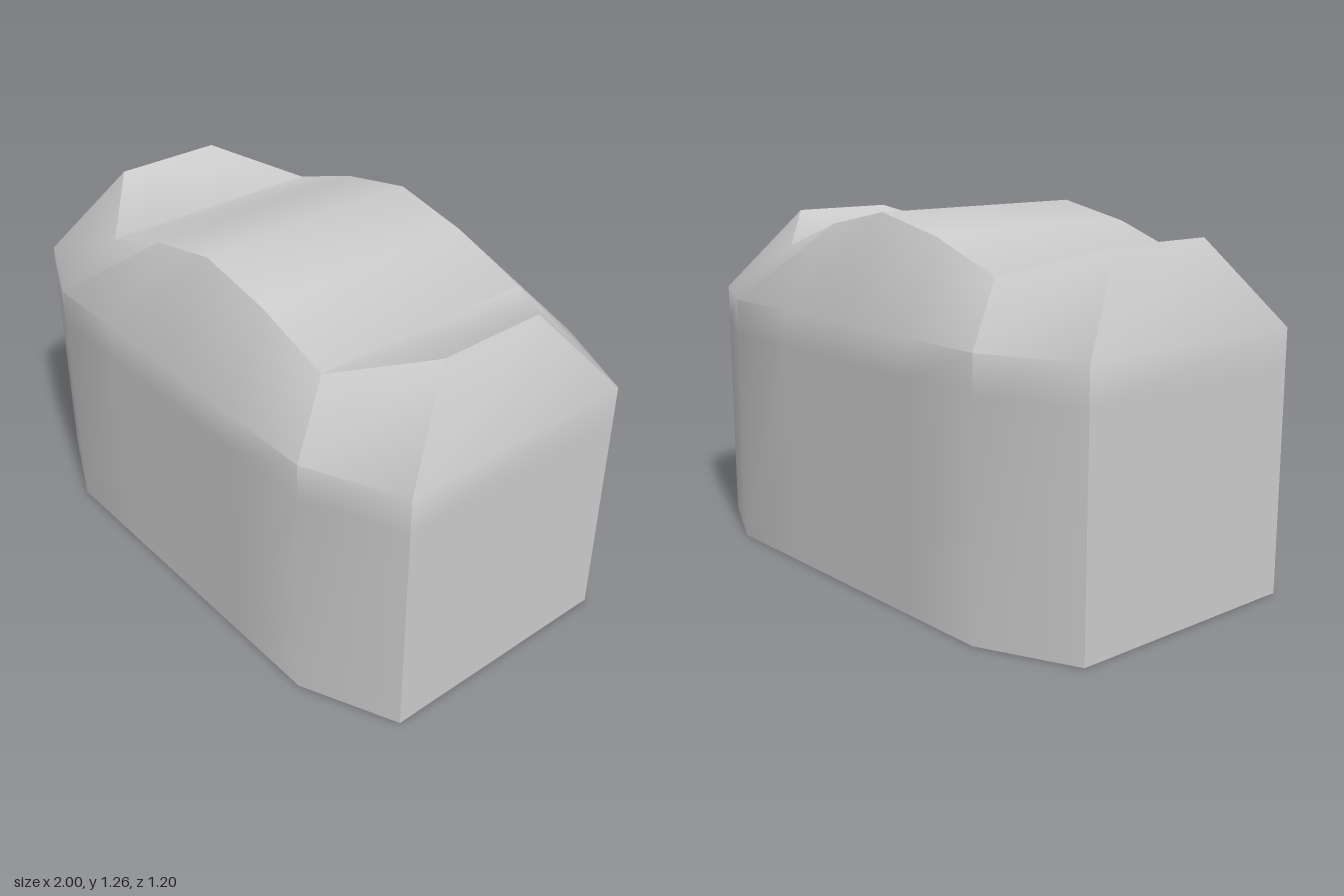
import * as THREE from 'three';
import { toCreasedNormals } from 'three/addons/utils/BufferGeometryUtils.js';

// Half outlines, right to left end: wall [x, z] and crown rim [x, y, z]
const wall = [[-1, 0.45], [-0.67, 0.6], [-0.335, 0.6], [0, 0.6], [0.335, 0.6], [0.67, 0.6], [1, 0.45]];
const rim = [[-0.85, 1.205, 0.2], [-0.57, 1.105, 0.425], [-0.285, 1.205, 0.425], [0, 1.263, 0.425],
  [0.285, 1.205, 0.425], [0.57, 1.105, 0.425], [0.85, 1.205, 0.2]];

// Close a half outline by mirroring it to the back
function mirrorRing(half) {
  return [...half, ...half.map(([x, y, z]) => [x, y, -z]).reverse()];
}

function createBody() {
  // Base, wall, shoulder and rim sections
  const rings = [0, 0.78, 0.91].map((y) => mirrorRing(wall.map(([x, z]) => [x, y, z])));
  rings.push(mirrorRing(rim));
  const n = rings[0].length;
  const last = (rings.length - 1) * n;
  const index = [];
  const quad = (a, b, c, d) => index.push(a, b, c, a, c, d);

  // Walls and sloping shoulders
  for (let r = 0; r < rings.length - 1; r++) {
    for (let i = 0; i < n; i++) {
      const j = (i + 1) % n;
      quad(r * n + i, r * n + j, (r + 1) * n + j, (r + 1) * n + i);
    }
  }
  // Wavy top and flat underside, as strips from front to back
  for (let i = 0; i < n / 2 - 1; i++) {
    quad(last + i, last + i + 1, last + n - 2 - i, last + n - 1 - i);
    quad(n - 1 - i, n - 2 - i, i + 1, i);
  }

  const geometry = new THREE.BufferGeometry();
  geometry.setAttribute('position', new THREE.Float32BufferAttribute(rings.flat(2), 3));
  geometry.setIndex(index);
  return toCreasedNormals(geometry, THREE.MathUtils.degToRad(48));
}

export function createModel() {
  const group = new THREE.Group();
  group.name = 'facetedBlock';
  const body = new THREE.Mesh(createBody(), new THREE.MeshStandardMaterial({ color: 0xcccccc }));
  body.name = 'body';
  group.add(body);
  return group;
}
